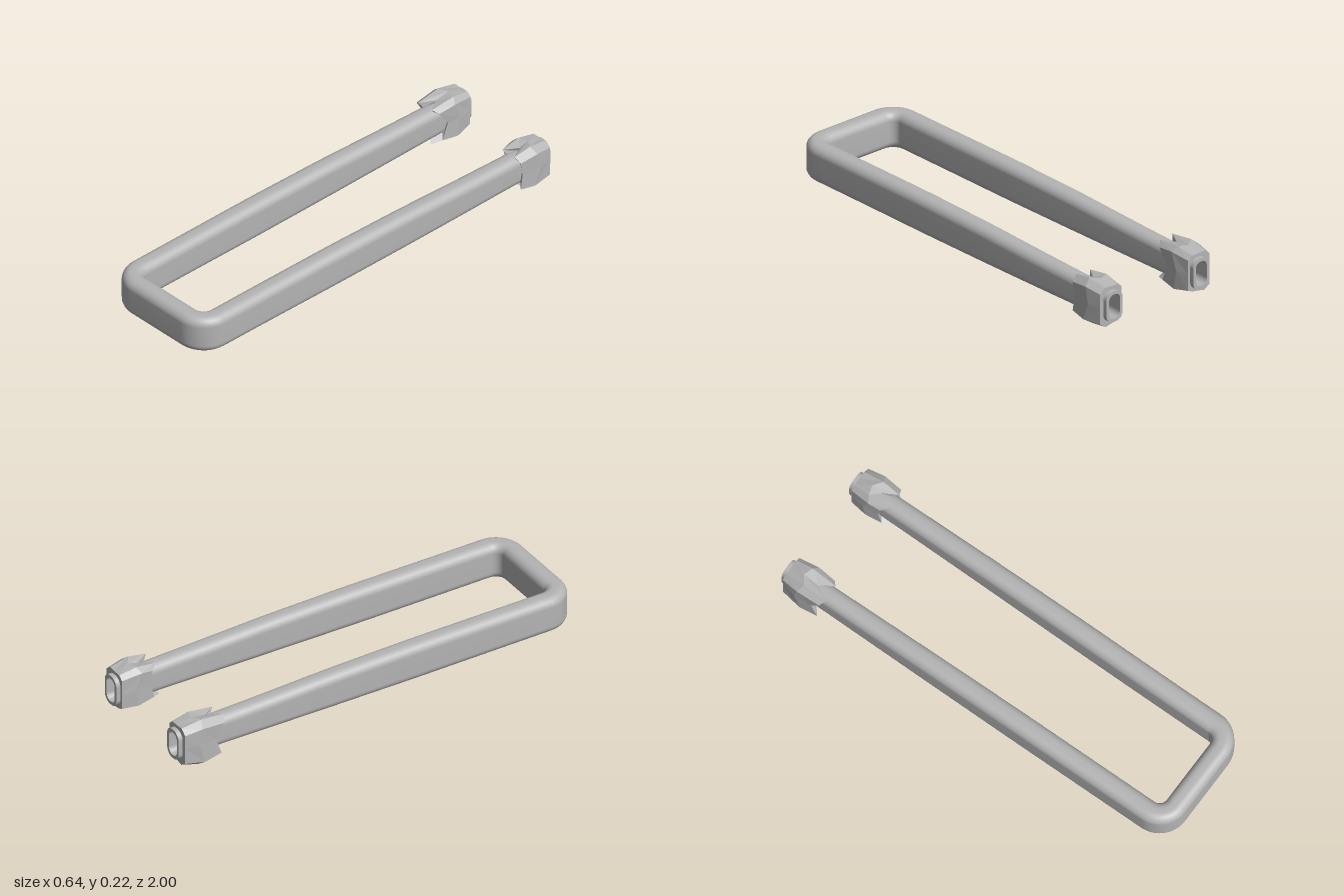
import * as THREE from 'three';

const MID_Y = 0.121;

// Rounded rectangle, counter-clockwise, as [across, up] pairs
function roundedRect(halfW, halfH, radius, steps = 6) {
  const points = [];
  const corners = [[1, 1], [-1, 1], [-1, -1], [1, -1]];
  corners.forEach(([sx, sy], quarter) => {
    for (let i = 0; i <= steps; i++) {
      const a = (quarter + i / steps) * Math.PI / 2;
      points.push([
        sx * (halfW - radius) + Math.cos(a) * radius,
        sy * (halfH - radius) + Math.sin(a) * radius,
      ]);
    }
  });
  return points;
}

// Skin a list of closed rings of [x, y, z] points
function loft(rings, flip, flat) {
  const n = rings[0].length;
  const index = [];
  for (let i = 0; i < rings.length - 1; i++) {
    for (let j = 0; j < n; j++) {
      const a = i * n + j, b = i * n + (j + 1) % n;
      const c = a + n, d = b + n;
      if (flip) index.push(a, b, c, b, d, c);
      else index.push(a, c, b, b, c, d);
    }
  }
  let geometry = new THREE.BufferGeometry();
  geometry.setAttribute('position', new THREE.Float32BufferAttribute(rings.flat(2), 3));
  geometry.setIndex(index);
  if (flat) geometry = geometry.toNonIndexed();
  geometry.computeVertexNormals();
  return geometry;
}

// Arm section along z: [z, half width, bottom, top]
const SECTIONS = [
  [-1, 0.045, 0.048, 0.19],
  [-0.8, 0.045, 0.05, 0.192],
  [-0.55, 0.046, 0.046, 0.197],
  [-0.2, 0.047, 0.041, 0.207],
  [0.2, 0.048, 0.037, 0.21],
  [0.6, 0.048, 0.036, 0.207],
  [0.85, 0.048, 0.035, 0.205],
  [1, 0.048, 0.035, 0.205],
];

function sectionAt(z) {
  let i = 0;
  while (i < SECTIONS.length - 2 && z > SECTIONS[i + 1][0]) i++;
  const a = SECTIONS[i], b = SECTIONS[i + 1];
  const t = (z - a[0]) / (b[0] - a[0]);
  return a.map((value, k) => THREE.MathUtils.lerp(value, b[k], t));
}

// Centre line of each arm; the left one leans in slightly towards the front
const armX = (side, z) => side < 0 ? -0.244 : 0.2425 - 0.006 * THREE.MathUtils.smoothstep(z, -0.6, 0.8);

function handleGeometry() {
  const bend = 0.085, barZ = 0.952, startZ = barZ - bend;
  const stations = []; // x, z, outward x, outward z
  const half = (side) => {
    const list = [];
    for (let i = 0; i <= 24; i++) {
      const z = THREE.MathUtils.lerp(-1, startZ, i / 24);
      list.push([armX(side, z), z, side, 0]);
    }
    const cx = armX(side, startZ) - side * bend;
    for (let i = 1; i <= 10; i++) {
      const a = i / 10 * Math.PI / 2;
      const nx = side * Math.cos(a), nz = Math.sin(a);
      list.push([cx + nx * bend, startZ + nz * bend, nx, nz]);
    }
    return list;
  };
  stations.push(...half(-1), ...half(1).reverse());
  return loft(stations.map(([x, z, nx, nz]) => {
    const [, w, bottom, top] = sectionAt(z);
    return roundedRect(w, (top - bottom) / 2, 0.038)
      .map(([a, b]) => [x + nx * a, (top + bottom) / 2 + b, z + nz * a]);
  }), false, false);
}

// Hollow mouth at the end of an arm
function mouthGeometry(side) {
  const cx = armX(side, -1), cy = 0.119;
  const ring = (w, h, r, z) => roundedRect(w, h, r).map(([a, b]) => [cx + side * a, cy + b, z]);
  return loft([
    ring(0, 0, 0, -0.72),
    ring(0.031, 0.056, 0.026, -0.72),
    ring(0.031, 0.056, 0.026, -1),
    ring(0.045, 0.071, 0.038, -1),
  ], side > 0, true);
}

// Chamfered outline of the collars: outward, up
const OUTLINE = [
  [1, 0], [1, 0.74], [0.55, 1], [0, 0.97], [-0.6, 0.97], [-0.95, 0.76],
  [-0.95, 0], [-0.95, -0.76], [-0.6, -0.86], [0, -0.93], [0.5, -1], [1, -0.78],
];
// Uneven front edge of each collar, one z per outline point
const EDGE = {
  '-1': [-0.83, -0.79, -0.77, -0.84, -0.78, -0.8, -0.85, -0.82, -0.77, -0.82, -0.84, -0.8],
  '1': [-0.82, -0.81, -0.8, -0.865, -0.8, -0.83, -0.84, -0.82, -0.78, -0.83, -0.85, -0.81],
};

function collarGeometry(side) {
  const cx = side < 0 ? -0.247 : 0.244;
  const low = side < 0 ? 0.117 : 0.102;
  const ring = (w, up, down, z) => OUTLINE.map(([u, v], k) => [
    cx + side * u * w,
    MID_Y + v * (v > 0 ? up : down),
    typeof z === 'number' ? z : z(k),
  ]);
  const edge = EDGE[side];
  return loft([
    ring(0.04, 0.064, 0.068, -0.98),
    ring(0.062, 0.088, 0.096, -0.98),
    ring(0.073, 0.104, low, (k) => -0.9 + (k % 3 - 1) * 0.015),
    ring(0.066, 0.09, low - 0.016, (k) => edge[k]),
    ring(0.04, 0.064, 0.066, (k) => edge[k] - 0.02),
  ], side > 0, true);
}

export function createModel() {
  const model = new THREE.Group();
  model.name = 'uShapedHandle';
  const grey = new THREE.MeshStandardMaterial({ color: 0xb4b4b4 });
  grey.name = 'grey';
  const add = (geometry, name) => {
    const mesh = new THREE.Mesh(geometry, grey);
    mesh.name = name;
    model.add(mesh);
  };

  add(handleGeometry(), 'handle');
  for (const side of [-1, 1]) {
    const label = side < 0 ? 'right' : 'left';
    add(mouthGeometry(side), label + 'Mouth');
    add(collarGeometry(side), label + 'Collar');
  }
  return model;
}
